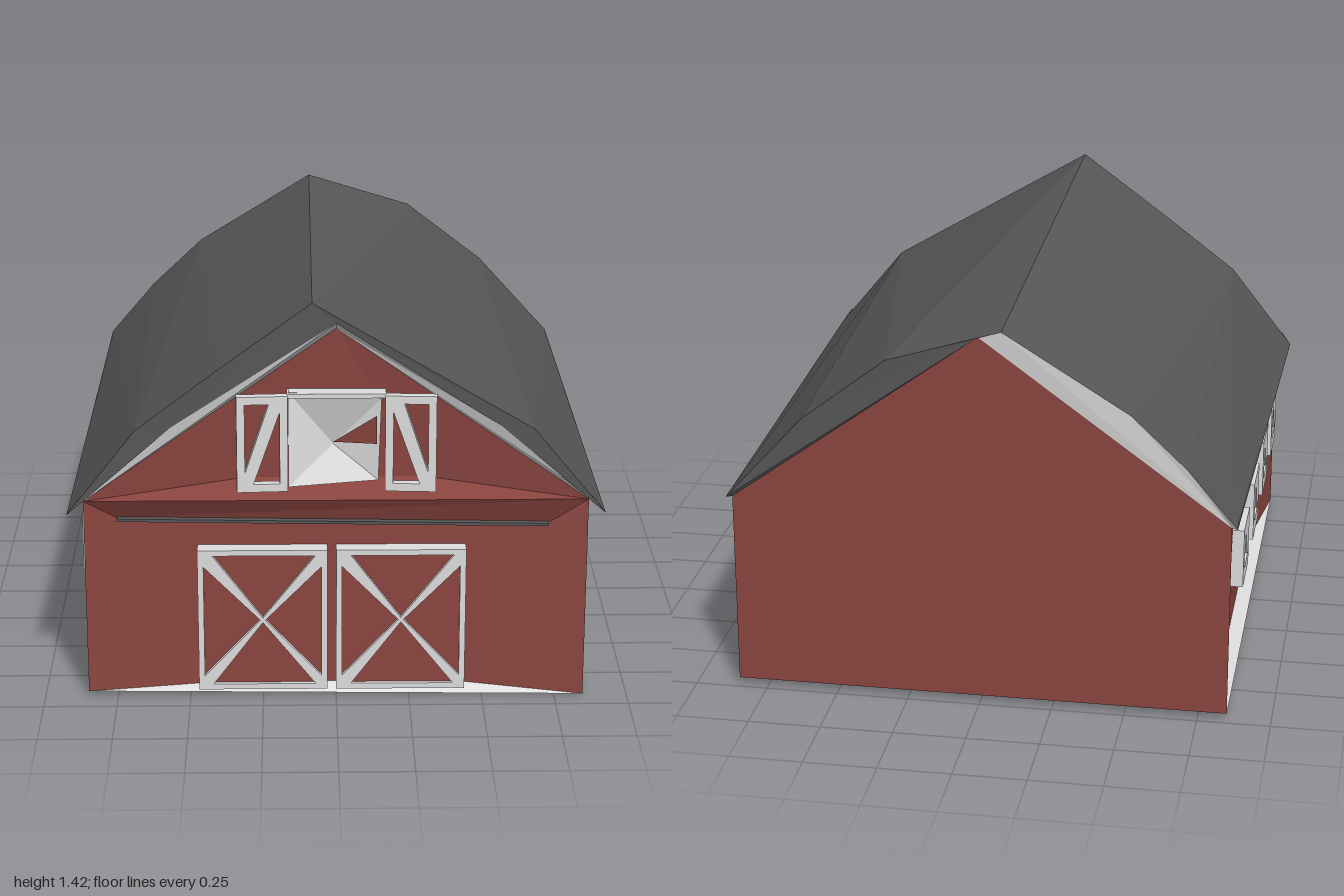
import * as THREE from 'three';

const material = (name, color) => Object.assign(
  new THREE.MeshStandardMaterial({ color, flatShading: true, side: THREE.DoubleSide }), { name });

export function createModel() {
  const barn = new THREE.Group();
  barn.name = 'barn';
  const red = material('barn red', 0x8c4640);
  const white = material('off-white trim', 0xdedede);
  const grey = material('roof grey', 0x585858);

  const add = (name, geometry, mat, parent = barn) => {
    const mesh = new THREE.Mesh(geometry, mat);
    mesh.name = name;
    parent.add(mesh);
    return mesh;
  };
  // Flat polygons, each fanned from its first corner
  const facets = (name, mat, polygons) => {
    const pos = [];
    for (const p of polygons)
      for (let i = 1; i < p.length - 1; i++) pos.push(...p[0], ...p[i], ...p[i + 1]);
    const geometry = new THREE.BufferGeometry();
    geometry.setAttribute('position', new THREE.Float32BufferAttribute(pos, 3));
    geometry.computeVertexNormals();
    return add(name, geometry, mat);
  };
  const box = (name, mat, x, y, z, w, h, d, parent) => {
    const mesh = add(name, new THREE.BoxGeometry(w, h, d), mat, parent);
    mesh.position.set(x, y, z);
    return mesh;
  };
  const points = (list) => list.map(([x, y]) => new THREE.Vector2(x, y));
  // Extruded outline with cut-outs
  const panel = (outline, holes, depth) => {
    const shape = new THREE.Shape(points(outline));
    shape.holes = holes.map((h) => new THREE.Path(points(h)));
    return new THREE.ExtrudeGeometry(shape, { depth, bevelEnabled: false });
  };
  const rect = (w, h) => [[-w / 2, -h / 2], [w / 2, -h / 2], [w / 2, h / 2], [-w / 2, h / 2]];

  // Front wall: lower part and gable lean in from a ridge at loft level
  const a = [-0.85, 0.72, 0.92], b = [0.85, 0.72, 0.92], peak = [0, 1.32, 0.9];
  const c = [-0.3, 0.79, 0.88], d = [0.3, 0.79, 0.88];
  const e = [-0.74, 0.645, 0.88], f = [0.72, 0.62, 0.88];
  const g = [0.4, 0.035, 0.88], h = [-0.4, 0.035, 0.88];
  const footL = [-0.85, 0.02, 0.92], footR = [0.85, 0, 0.92];
  facets('frontGable', red, [[a, b, d, c], [a, c, peak], [d, b, peak], [c, d, peak]]);
  facets('frontWall', red, [[e, f, b, a], [footL, h, e, a], [h, g, f, e], [g, footR, b, f]]);
  facets('frontFoundation', white, [[footL, footR, g, h]]);

  // Back wall and floor
  const backL = [-0.85, 0.025, -0.98], backR = [0.85, 0.025, -0.98];
  facets('backWall', red, [[backR, backL, [-0.85, 0.71, -0.98], [0, 1.33, -0.98], [0.85, 0.71, -0.98]]]);
  facets('floor', red, [[footL, backL, backR, footR]]);

  // Side walls, inset between the corners, with foundation ledge and soffit
  for (const s of [-1, 1]) {
    const foot = s < 0 ? footL : footR, back = s < 0 ? backL : backR;
    const p1 = [s * 0.8, 0.045, 0.45], p2 = [s * 0.8, 0.045, -0.4];
    const p3 = [s * 0.8, 0.65, -0.13], p4 = [s * 0.8, 0.645, 0.51];
    const top = s < 0 ? a : b, backTop = [s * 0.85, 0.71, -0.98];
    facets('sideWall', red, [[foot, p1, p4, top], [p1, p2, p3, p4], [p2, back, backTop, p3]]);
    facets('sideFoundation', white, [[foot, back, p2, p1]]);
    facets('soffit', white, [[[s * 0.9, 0.685, 0.94], p4, p3, [s * 0.868, 0.715, -0.985]]]);
  }

  // Roof: uneven front and back profiles joined by alternating triangles
  const front = [[-0.905, 0.68], [-0.67, 0.98], [-0.4, 1.185], [-0.08, 1.42], [0.3, 1.195], [0.66, 0.98], [0.905, 0.68]]
    .map(([x, y]) => [x, y, 0.945]);
  const rear = [[-0.87, 0.71], [-0.7, 0.91], [-0.51, 1.09], [-0.08, 1.355], [0.31, 1.235], [0.6, 1.01], [0.87, 0.71]]
    .map(([x, y]) => [x, y, -0.99]);
  const roof = [];
  for (let i = 0; i < 6; i++) {
    if (i % 2) roof.push([front[i], front[i + 1], rear[i + 1]], [front[i], rear[i + 1], rear[i]]);
    else roof.push([front[i], front[i + 1], rear[i]], [front[i + 1], rear[i + 1], rear[i]]);
  }
  facets('roof', grey, roof);

  // Roof edge boards and the trim under them
  const t = [[-0.87, 0.73, 0.942], [-0.55, 0.99, 0.942], [0, 1.35, 0.942], [0.55, 0.99, 0.942], [0.87, 0.73, 0.942]];
  facets('frontRoofEdge', grey, [
    [front[0], t[0], t[1], front[1]], [t[1], t[2], front[3], front[2], front[1]],
    [t[2], t[3], front[5], front[4], front[3]], [t[3], t[4], front[6], front[5]]]);
  facets('frontGableTrim', white, [[a, peak, t[2], t[1], t[0]], [peak, b, t[4], t[3], t[2]]]);
  const rearPeak = [0, 1.33, -0.98];
  facets('backGableTrim', white, [[[-0.85, 0.71, -0.98], rear[0], rear[1], rear[2], rear[3], rearPeak]]);
  facets('backRoofEdge', grey, [[rearPeak, rear[3], rear[4], rear[5], rear[6], [0.85, 0.71, -0.98]]]);

  // Barn doors with tapered cross braces
  const W = 0.22, H = 0.257;
  const braces = [
    [[-W + 0.05, H - 0.02], [W - 0.04, H - 0.02], [0, 0.008]],
    [[-W + 0.05, -H + 0.02], [W - 0.04, -H + 0.02], [0, -0.008]],
    [[-W + 0.02, H - 0.06], [-W + 0.02, -H + 0.05], [-0.008, 0]],
    [[W - 0.02, H - 0.06], [W - 0.02, -H + 0.05], [0.008, 0]]];
  for (const x of [-0.25, 0.22]) {
    const door = new THREE.Group();
    door.name = 'barnDoor';
    door.position.set(x, 0.288, 0.88);
    barn.add(door);
    box('doorPanel', red, 0, 0, 0.02, 0.43, 0.5, 0.04, door);
    add('doorFrame', panel(rect(2 * W, 2 * H), braces, 0.055), white, door);
  }
  const rail = box('doorRail', grey, -0.01, 0.633, 0.89, 1.46, 0.01, 0.03);
  rail.rotation.z = -0.016;

  // Loft opening: bent boards around a deep point
  const tl = [-0.16, 1.11, 0.935], tr = [0.15, 1.09, 0.945], br = [0.14, 0.8, 0.94], bl = [-0.16, 0.78, 0.95];
  const deep = [-0.01, 0.91, 0.885];
  facets('loftOpening', white, [[tl, bl, deep], [bl, br, deep], [tl, deep, tr], [deep, br, tr]]);
  facets('loftGap', red, [[[-0.01, 0.92, 0.895], [0.135, 0.93, 0.945], [0.135, 1.03, 0.947]]]);
  facets('loftSurround', white, [tl, tr, br, bl].map((p, i, all) => {
    const q = all[(i + 1) % 4];
    return [p, q, [q[0], q[1], 0.87], [p[0], p[1], 0.87]];
  }));
  box('loftHeader', white, 0, 1.1, 0.91, 0.33, 0.015, 0.08);

  // Open loft shutters with one diagonal brace each
  for (const s of [-1, 1]) {
    const holes = [
      [[-0.058 * s, 0.14], [0.022 * s, 0.14], [-0.058 * s, -0.1]].map(([x, y]) => [-x * -1, y]),
      [[0.058 * s, -0.14], [-0.03 * s, -0.14], [0.058 * s, 0.11]]];
    // Mirror the brace so both lean towards the opening
    const flipped = holes.map((o) => o.map(([x, y]) => [-x, y]));
    const shutter = add('loftShutter', panel(rect(0.17, 0.335), s < 0 ? flipped.map((o) => o.map(([x, y]) => [-x, y])).map((o) => o.map(([x, y]) => [-x, y])) : flipped, 0.03), white);
    shutter.position.set(s * 0.248, 0.943, 0.955);
    shutter.rotation.y = -s * 0.06;
  }

  // Side windows: square frames with three-cornered openings, one bent
  const square = rect(0.21, 0.21);
  const bent = [[-0.09, -0.095], [0.02, -0.1], [0.09, -0.055], [0.1, 0.015], [0.05, 0.085], [-0.06, 0.095], [-0.08, 0]];
  const pointing = [[-0.075, 0.065], [0.075, -0.02], [-0.075, -0.065]];
  const down = [[-0.08, 0.085], [0.08, 0.085], [-0.01, -0.06]];
  const up = [[-0.06, -0.06], [0.06, -0.05], [-0.02, 0.065]];
  const slit = [[-0.05, -0.02], [0.03, -0.02], [-0.01, 0.07]];
  const windows = [[0.6, bent, slit], [0.2, square, pointing], [-0.21, square, down], [-0.62, square, pointing]];
  for (const s of [-1, 1]) {
    windows.forEach(([z, outline, hole]) => {
      const plain = s < 0;
      const frame = add('sideWindow', panel(plain ? square : outline, [plain ? up : hole], 0.085), white);
      frame.position.set(s * 0.787, 0.487, z);
      frame.rotation.y = s * Math.PI / 2;
    });
  }
  return barn;
}
